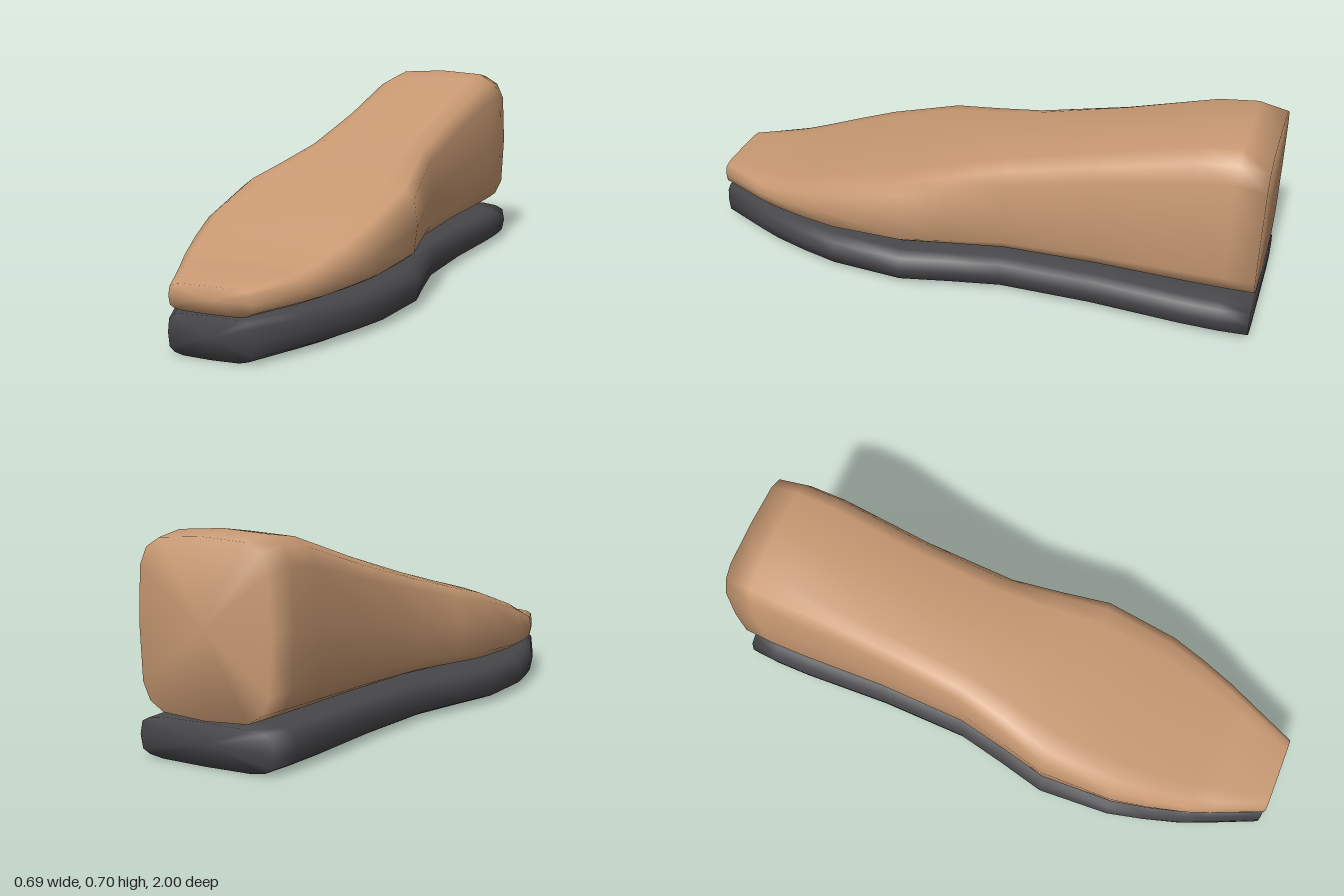
import * as THREE from 'three';

const SIDES = 16;
const POWER = 0.45; // squareness of the rounded cross-sections

// Stations along the shoe: [z, half width of sole, top height of upper]
const STATIONS = [
  [-1, 0.25, 0.68], [-0.9, 0.26, 0.697], [-0.77, 0.262, 0.68], [-0.45, 0.252, 0.588],
  [-0.13, 0.262, 0.503], [0.05, 0.303, 0.457], [0.22, 0.346, 0.415], [0.48, 0.333, 0.338],
  [0.61, 0.302, 0.297], [0.74, 0.262, 0.257], [0.82, 0.228, 0.238], [1, 0.145, 0.222],
];

const soften = (v) => Math.sign(v) * Math.pow(Math.abs(v), POWER);

// Loft of rounded-box rings, closed by a fan at each end; each ring is [z, halfWidth, bottom, top]
function loft(name, color, rings) {
  const pos = [];
  const index = [];
  for (const [z, w, bottom, top] of rings) {
    for (let j = 0; j < SIDES; j++) {
      const a = (j / SIDES) * Math.PI * 2;
      pos.push(w * soften(Math.cos(a)), (bottom + top) / 2 + ((top - bottom) / 2) * soften(Math.sin(a)), z);
    }
  }
  const last = (rings.length - 1) * SIDES;
  const back = pos.length / 3;
  const front = back + 1;
  for (const [z, , bottom, top] of [rings[0], rings[rings.length - 1]]) pos.push(0, (bottom + top) / 2, z);

  for (let j = 0; j < SIDES; j++) {
    const k = (j + 1) % SIDES;
    for (let i = 0; i < last; i += SIDES) {
      index.push(i + j, i + k, i + SIDES + k, i + j, i + SIDES + k, i + SIDES + j);
    }
    index.push(back, k, j, front, last + j, last + k);
  }
  const geometry = new THREE.BufferGeometry();
  geometry.setAttribute('position', new THREE.Float32BufferAttribute(pos, 3));
  geometry.setIndex(index);
  geometry.computeVertexNormals();
  const mesh = new THREE.Mesh(geometry, new THREE.MeshStandardMaterial({ color }));
  mesh.name = name;
  return mesh;
}

export function createModel() {
  const group = new THREE.Group();
  group.name = 'shoe';
  // Flat sole, with the sloping upper floating just above it
  group.add(loft('sole', 0x47474a, STATIONS.map(([z, w]) => [z, w, 0, 0.133])));
  group.add(loft('upper', 0xc99a73, STATIONS.map(([z, w, top]) => [z, w * 0.97, 0.137, top])));
  return group;
}
